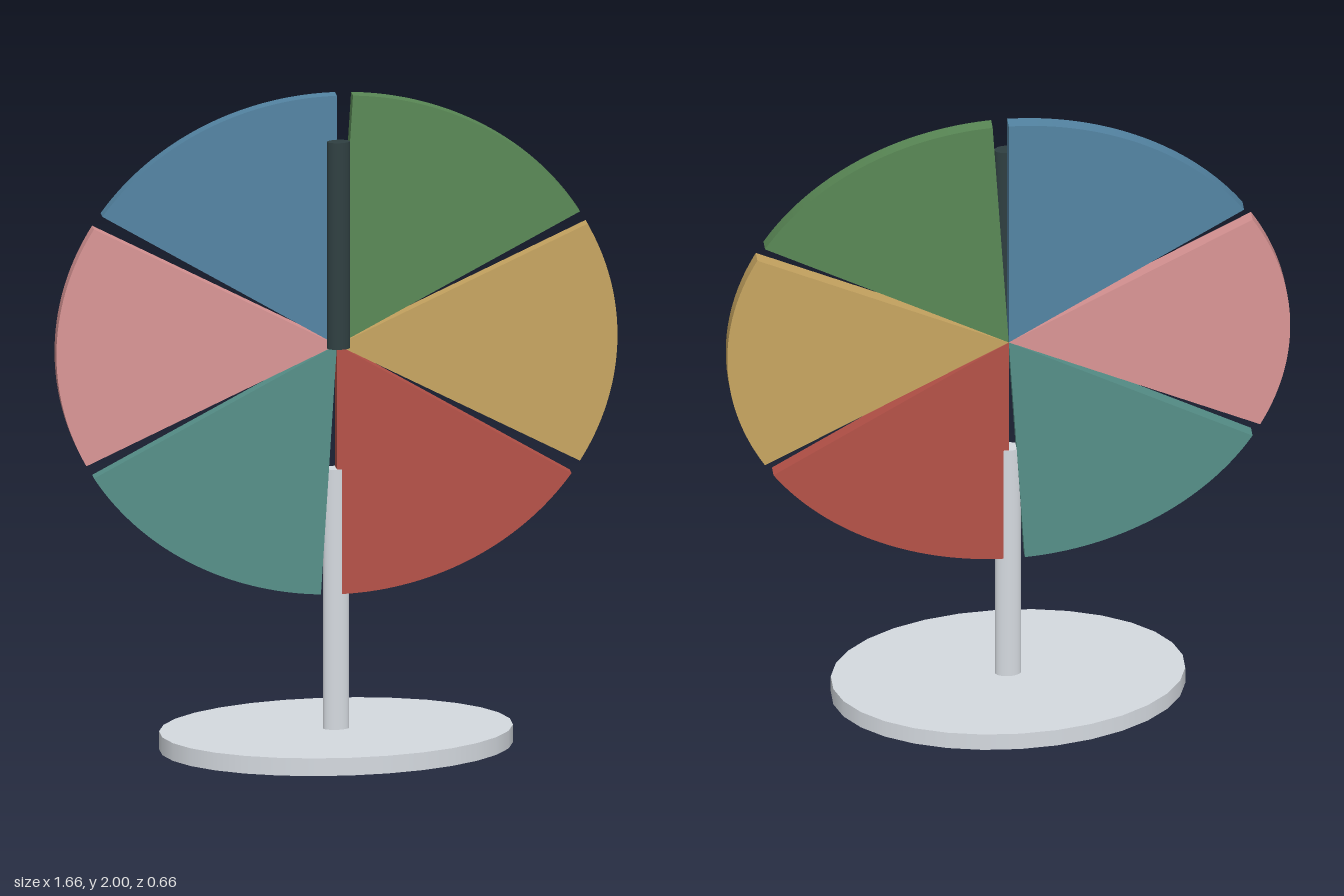
import * as THREE from 'three';

const material = (name, color) => new THREE.MeshStandardMaterial({ name, color });

export function createModel() {
  const group = new THREE.Group();
  group.name = 'spinnerWheel';
  const grey = material('paleGrey', 0xd5dae0);
  const dark = material('darkSlate', 0x2f3f41);
  const hubY = 1.24;

  // upright cylinder with an oval cross-section
  const ovalColumn = (name, mat, rx, rz, y0, y1, z, sides) => {
    const geometry = new THREE.CylinderGeometry(1, 1, y1 - y0, sides);
    geometry.scale(rx, 1, rz);
    const mesh = new THREE.Mesh(geometry, mat);
    mesh.name = name;
    mesh.position.set(0, (y0 + y1) / 2, z);
    group.add(mesh);
  };
  ovalColumn('base', grey, 0.523, 0.332, 0.013, 0.067, 0, 30);
  ovalColumn('post', grey, 0.039, 0.023, 0, 0.86, 0, 24);
  ovalColumn('pointer', dark, 0.034, 0.02, 1.24, 1.87, 0.055, 24);

  // six oval wedges, each slightly short of 60 degrees to leave a gap
  const colours = [
    ['green', 0x5a8956], ['blue', 0x5485a4], ['pink', 0xdb9696],
    ['teal', 0x569089], ['red', 0xb65248], ['gold', 0xc8a661],
  ];
  const depth = 0.042, rx = 0.832, ry = 0.76;
  colours.forEach(([colour, hex], i) => {
    const start = Math.PI / 6 + (i * Math.PI) / 3;
    const shape = new THREE.Shape();
    shape.moveTo(0, 0);
    shape.lineTo(rx * Math.cos(start), ry * Math.sin(start));
    shape.absellipse(0, 0, rx, ry, start, start + 0.99, false, 0);
    shape.lineTo(0, 0);
    const geometry = new THREE.ExtrudeGeometry(shape, { depth, bevelEnabled: false, curveSegments: 28 });
    geometry.translate(0, hubY, -depth / 2);
    const wedge = new THREE.Mesh(geometry, material(colour, hex));
    wedge.name = colour + 'Wedge';
    group.add(wedge);
  });

  return group;
}
